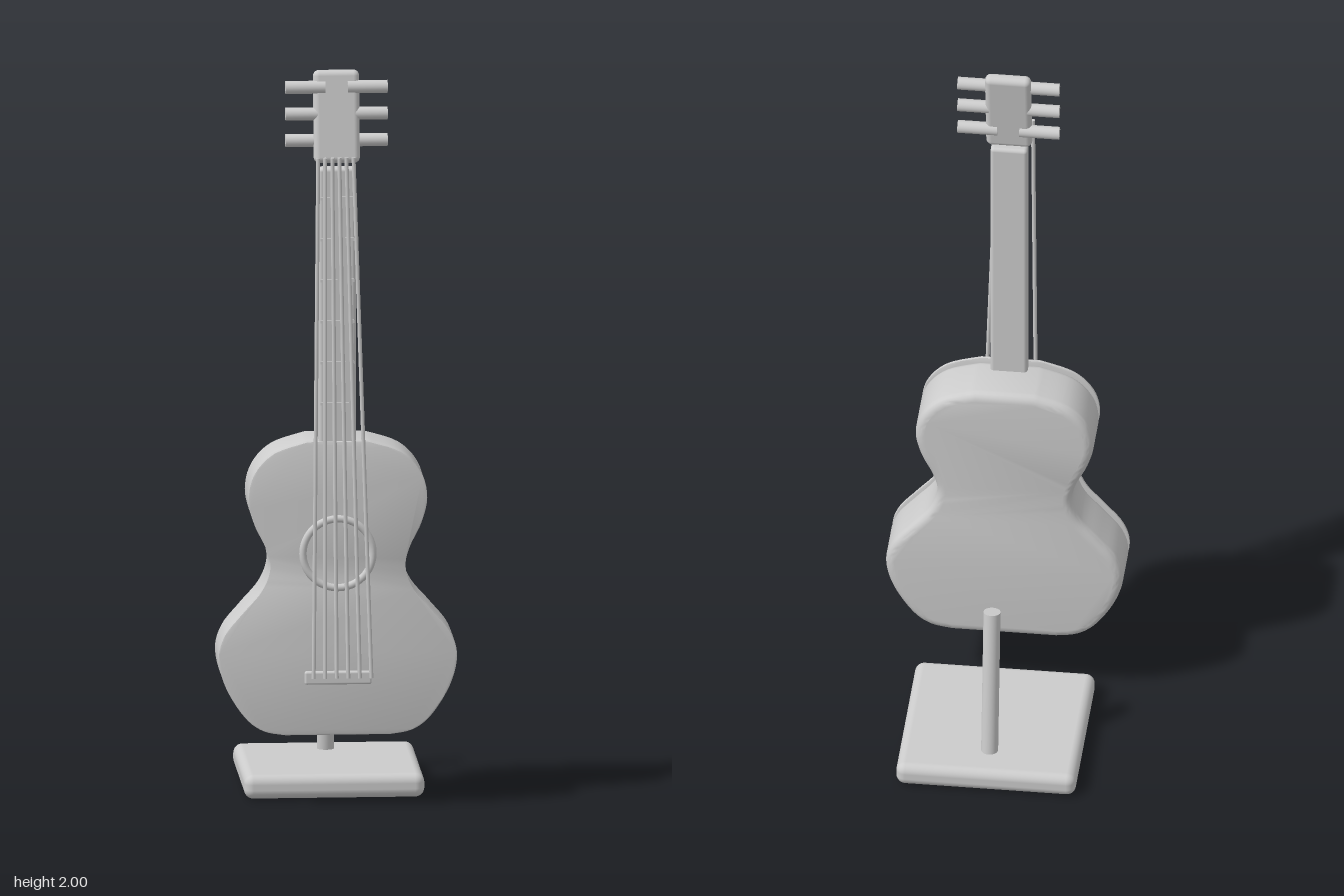
import * as THREE from 'three';
import { toCreasedNormals } from 'three/addons/utils/BufferGeometryUtils.js';
import { RoundedBoxGeometry } from 'three/addons/geometries/RoundedBoxGeometry.js';

const grey = new THREE.MeshStandardMaterial({ color: 0xcccccc });
grey.name = 'plainGrey';

function add(group, name, geometry, x = 0, y = 0, z = 0) {
  const mesh = new THREE.Mesh(geometry, grey);
  mesh.name = name;
  mesh.position.set(x, y, z);
  group.add(mesh);
  return mesh;
}

// Cylinder running between two points
function rod(group, name, from, to, radius, sides = 24) {
  const a = new THREE.Vector3(...from), b = new THREE.Vector3(...to);
  const dir = b.clone().sub(a);
  const mesh = add(group, name, new THREE.CylinderGeometry(radius, radius, dir.length(), sides));
  mesh.position.copy(a).add(b).multiplyScalar(0.5);
  mesh.quaternion.setFromUnitVectors(new THREE.Vector3(0, 1, 0), dir.normalize());
}

// Right half of the waisted outline, bottom to top, mirrored into a closed shape
function bodyShape() {
  const half = [
    [0.14, 0.2], [0.2, 0.212], [0.25, 0.25], [0.3, 0.33], [0.32, 0.41], [0.303, 0.475],
    [0.255, 0.535], [0.204, 0.595], [0.182, 0.655], [0.193, 0.71], [0.224, 0.775],
    [0.24, 0.845], [0.223, 0.915], [0.17, 0.97], [0.08, 1.0],
  ].map(([x, y]) => new THREE.Vector2(x, y));
  const side = new THREE.SplineCurve(half).getPoints(70);
  const mirrored = side.map((p) => new THREE.Vector2(-p.x, p.y)).reverse();
  return new THREE.Shape([...side, ...mirrored]);
}

// Outline extruded from z0 to z1 with rounded rims
function slab(z0, z1, bevel, steps) {
  const geometry = new THREE.ExtrudeGeometry(bodyShape(), {
    depth: z1 - z0 - 2 * bevel, bevelEnabled: true, bevelThickness: bevel,
    bevelSize: bevel, bevelOffset: -bevel, bevelSegments: steps,
  });
  geometry.translate(0, 0, z0 + bevel);
  return toCreasedNormals(geometry, 0.6);
}

export function createModel() {
  const model = new THREE.Group();
  model.name = 'guitarOnStand';

  // Stand
  add(model, 'standBase', new RoundedBoxGeometry(0.484, 0.065, 0.485, 4, 0.025), 0, 0.0325, -0.0825);
  rod(model, 'standPost', [0, 0.05, -0.222], [0, 0.485, -0.164], 0.023);

  // Body and front plate
  add(model, 'body', slab(0.111, 0.271, 0.024, 5));
  add(model, 'soundboard', slab(0.277, 0.286, 0.003, 2));
  add(model, 'soundHoleRing', new THREE.TorusGeometry(0.094, 0.01, 12, 48), 0, 0.696, 0.288);
  add(model, 'bridge', new RoundedBoxGeometry(0.18, 0.036, 0.018, 3, 0.006), 0, 0.358, 0.294);

  // Neck and frets
  add(model, 'neck', new RoundedBoxGeometry(0.1, 0.84, 0.04, 3, 0.01), 0, 1.322, 0.245);
  for (let i = 0; i < 6; i++) {
    add(model, 'fret', new THREE.BoxGeometry(0.09, 0.008, 0.008), 0, 1.1 + i * 0.112, 0.266);
  }

  // Tilted headstock
  const head = add(model, 'headstock', new RoundedBoxGeometry(0.124, 0.25, 0.036, 4, 0.016), 0, 1.876, 0.226);
  head.rotation.x = -0.14;

  // Tuning pegs
  for (const side of [-1, 1]) {
    for (let i = 0; i < 3; i++) {
      const y = 1.811 + i * 0.0725;
      rod(model, 'tuningPeg', [side * 0.03, y, 0.225], [side * 0.137, y, 0.225], 0.0175);
    }
  }

  // Strings, fanning out toward the bridge
  for (let i = 0; i < 6; i++) {
    rod(model, 'string', [-0.067 + 0.031 * i, 0.36, 0.316], [-0.055 + 0.019 * i, 1.78, 0.316], 0.0055, 10);
  }

  return model;
}
